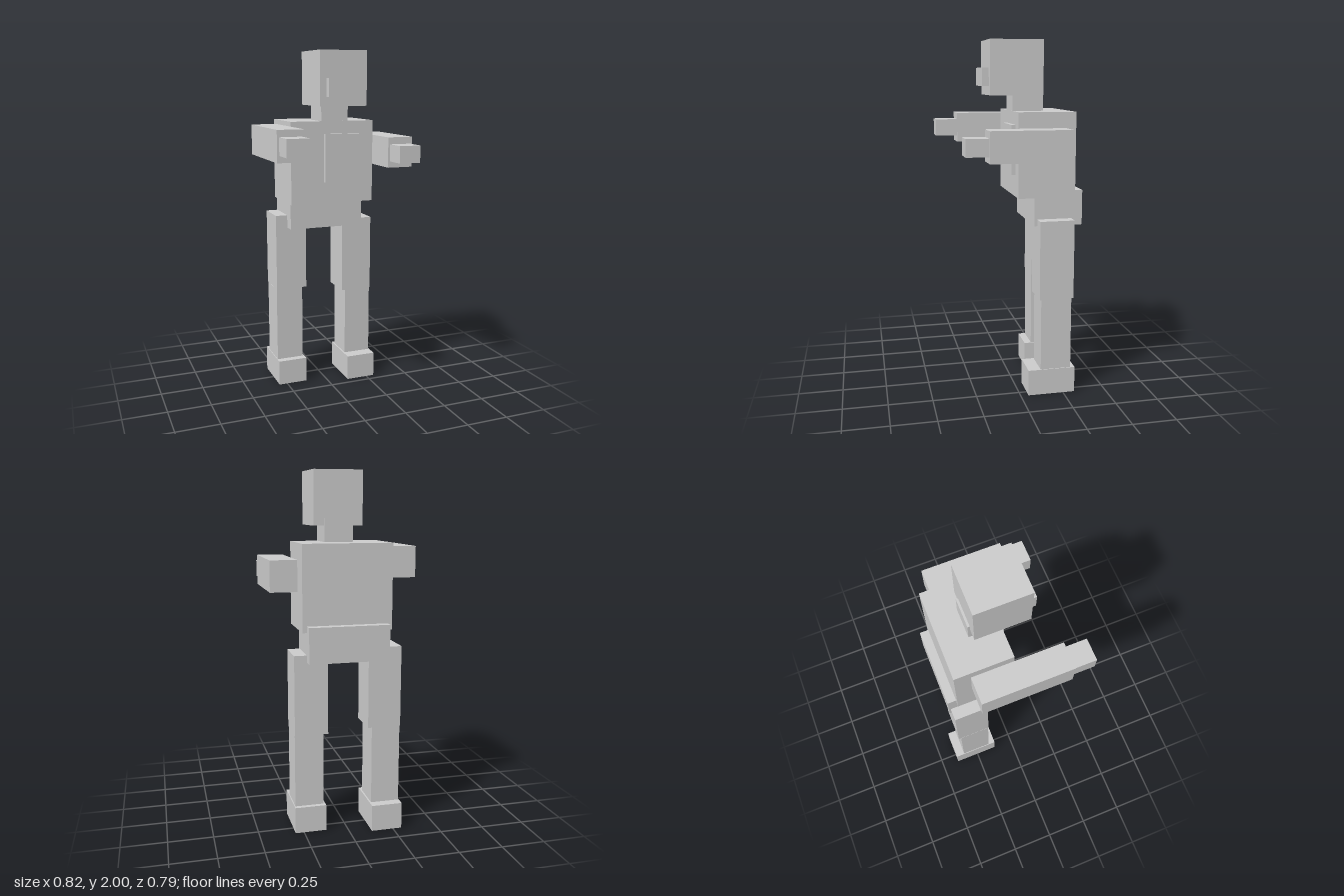
import * as THREE from 'three';

const grey = new THREE.MeshStandardMaterial({ color: 0xcccccc });
grey.name = 'lightGrey';

// Axis-aligned block given by its extents along x, y and z.
function block(parent, name, [x0, x1], [y0, y1], [z0, z1]) {
  const mesh = new THREE.Mesh(new THREE.BoxGeometry(x1 - x0, y1 - y0, z1 - z0), grey);
  mesh.position.set((x0 + x1) / 2, (y0 + y1) / 2, (z0 + z1) / 2);
  mesh.name = name;
  parent.add(mesh);
}

function group(parent, name) {
  const g = new THREE.Group();
  g.name = name;
  parent.add(g);
  return g;
}

export function createModel() {
  const model = new THREE.Group();
  model.name = 'blockFigure';

  // Head with a raised face plate, and the neck set slightly back
  const head = group(model, 'headGroup');
  block(head, 'head', [-0.126, 0.15], [1.7, 2], [-0.157, 0.143]);
  block(head, 'facePlate', [-0.088, 0.112], [1.75, 1.85], [0.143, 0.181]);
  block(head, 'neck', [-0.068, 0.094], [1.612, 1.74], [-0.169, 0.005]);

  // Torso with chest panel, and pelvis
  const body = group(model, 'body');
  block(body, 'torso', [-0.251, 0.25], [1.14, 1.612], [-0.318, 0.006]);
  block(body, 'chestPanel', [-0.053, 0.175], [1.263, 1.54], [0.006, 0.03]);
  block(body, 'pelvis', [-0.225, 0.225], [0.977, 1.175], [-0.368, -0.092]);

  // Arms reaching forward
  const rightArm = group(model, 'rightArm');
  block(rightArm, 'arm', [-0.412, -0.263], [1.415, 1.588], [-0.232, 0.269]);
  block(rightArm, 'hand', [-0.4, -0.275], [1.453, 1.55], [0.269, 0.395]);
  const leftArm = group(model, 'leftArm');
  block(leftArm, 'arm', [0.263, 0.412], [1.354, 1.525], [-0.256, 0.194]);
  block(leftArm, 'hand', [0.274, 0.4], [1.39, 1.486], [0.194, 0.319]);

  // Legs, the right one set further back
  const rightLeg = group(model, 'rightLeg');
  block(rightLeg, 'thigh', [-0.295, -0.108], [0.598, 1.052], [-0.357, -0.16]);
  block(rightLeg, 'shin', [-0.296, -0.134], [0.15, 0.598], [-0.343, -0.163]);
  block(rightLeg, 'foot', [-0.3, -0.125], [0, 0.15], [-0.395, -0.121]);
  const leftLeg = group(model, 'leftLeg');
  block(leftLeg, 'thigh', [0.107, 0.295], [0.565, 1.015], [-0.305, -0.108]);
  block(leftLeg, 'shin', [0.131, 0.294], [0.15, 0.565], [-0.293, -0.117]);
  block(leftLeg, 'foot', [0.122, 0.299], [0, 0.15], [-0.318, -0.045]);

  return model;
}
